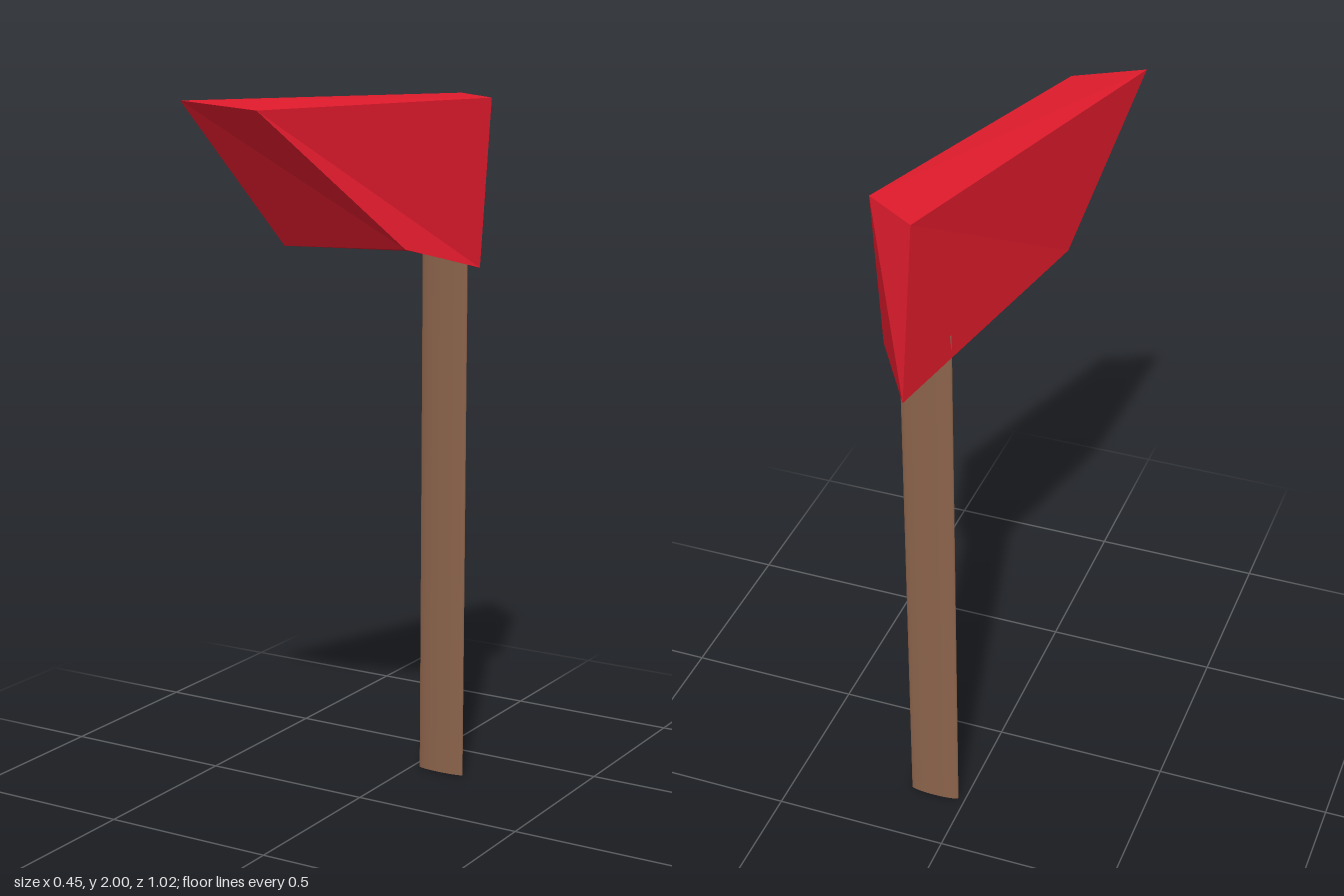
import * as THREE from 'three';

const RED = 0xe01b2c;
const BROWN = 0x8b634b;

// Solid between a lower and an upper loop of corners (both counter-clockwise from above)
function faceted(lower, upper) {
  const n = lower.length;
  const pos = [];
  const quad = (a, b, c, d) => pos.push(...a, ...b, ...c, ...a, ...c, ...d);
  for (let i = 0; i < n; i++) {
    const j = (i + 1) % n;
    quad(upper[i], lower[i], lower[j], upper[j]);
  }
  quad(...upper);
  quad(...[...lower].reverse());
  const geo = new THREE.BufferGeometry();
  geo.setAttribute('position', new THREE.Float32BufferAttribute(pos, 3));
  geo.computeVertexNormals();
  return geo;
}

export function createModel() {
  const model = new THREE.Group();

  // Wedge-shaped head: front left, front right, back right, back left corners
  const upper = [[-0.225, 2, 0.51], [-0.035, 1.978, 0.447], [0.225, 1.973, -0.328], [0.075, 1.975, -0.43]];
  const lower = [[-0.12, 1.6, 0.19], [0.196, 1.6, 0.092], [0.225, 1.51, -0.27], [0.075, 1.51, -0.51]];
  const head = new THREE.Mesh(
    faceted(lower, upper),
    new THREE.MeshStandardMaterial({ color: RED, flatShading: true })
  );
  head.name = 'head';
  model.add(head);

  // Thin flattened round handle, its top sunk into the head
  const handleGeo = new THREE.CylinderGeometry(0.0725, 0.0725, 1.6, 32);
  handleGeo.scale(1, 1, 0.16);
  const handle = new THREE.Mesh(handleGeo, new THREE.MeshStandardMaterial({ color: BROWN }));
  handle.position.set(0.0925, 0.8, -0.31);
  handle.name = 'handle';
  model.add(handle);

  return model;
}
